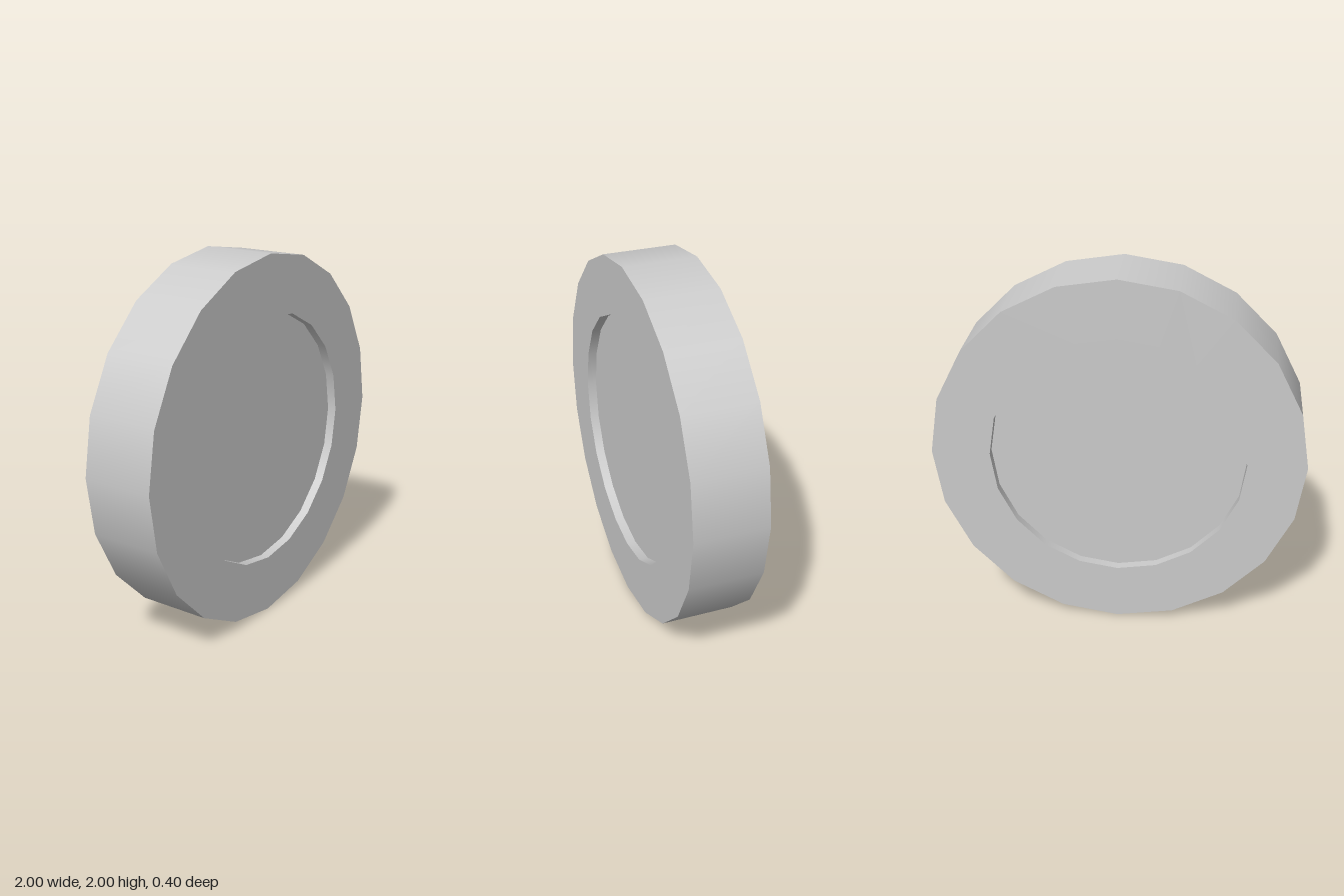
import * as THREE from 'three';

const SIDES = 20;
const R = 1, HUB_R = 0.685;   // outer and recess radius
const H = 0.2, HUB_H = 0.15;  // half widths of the rim and of the hub

// Revolve each profile segment separately: smooth around, sharp between segments.
function revolve(name, profile, material) {
  const part = new THREE.Group();
  part.name = name;
  for (let i = 0; i < profile.length - 1; i++) {
    const points = [profile[i], profile[i + 1]].map(([r, y]) => new THREE.Vector2(r, y));
    const mesh = new THREE.Mesh(new THREE.LatheGeometry(points, SIDES), material);
    mesh.name = `${name}Surface${i + 1}`;
    part.add(mesh);
  }
  return part;
}

export function createModel() {
  const model = new THREE.Group();
  model.name = 'wheel';
  const material = new THREE.MeshStandardMaterial({ color: 0xcccccc });

  // Tyre: recess wall, side face, tread, side face, recess wall
  const tyre = revolve('tyre', [
    [HUB_R, -HUB_H], [HUB_R, -H], [R, -H], [R, H], [HUB_R, H], [HUB_R, HUB_H],
  ], material);

  // Flat hub discs sunk into both sides
  const backHub = revolve('backHub', [[0, -HUB_H], [HUB_R, -HUB_H]], material);
  const frontHub = revolve('frontHub', [[HUB_R, HUB_H], [0, HUB_H]], material);

  // Stand the wheel upright with its axle along z
  const wheel = new THREE.Group();
  wheel.name = 'uprightWheel';
  wheel.add(tyre, backHub, frontHub);
  wheel.rotation.x = Math.PI / 2;
  wheel.position.y = R;
  model.add(wheel);
  return model;
}
